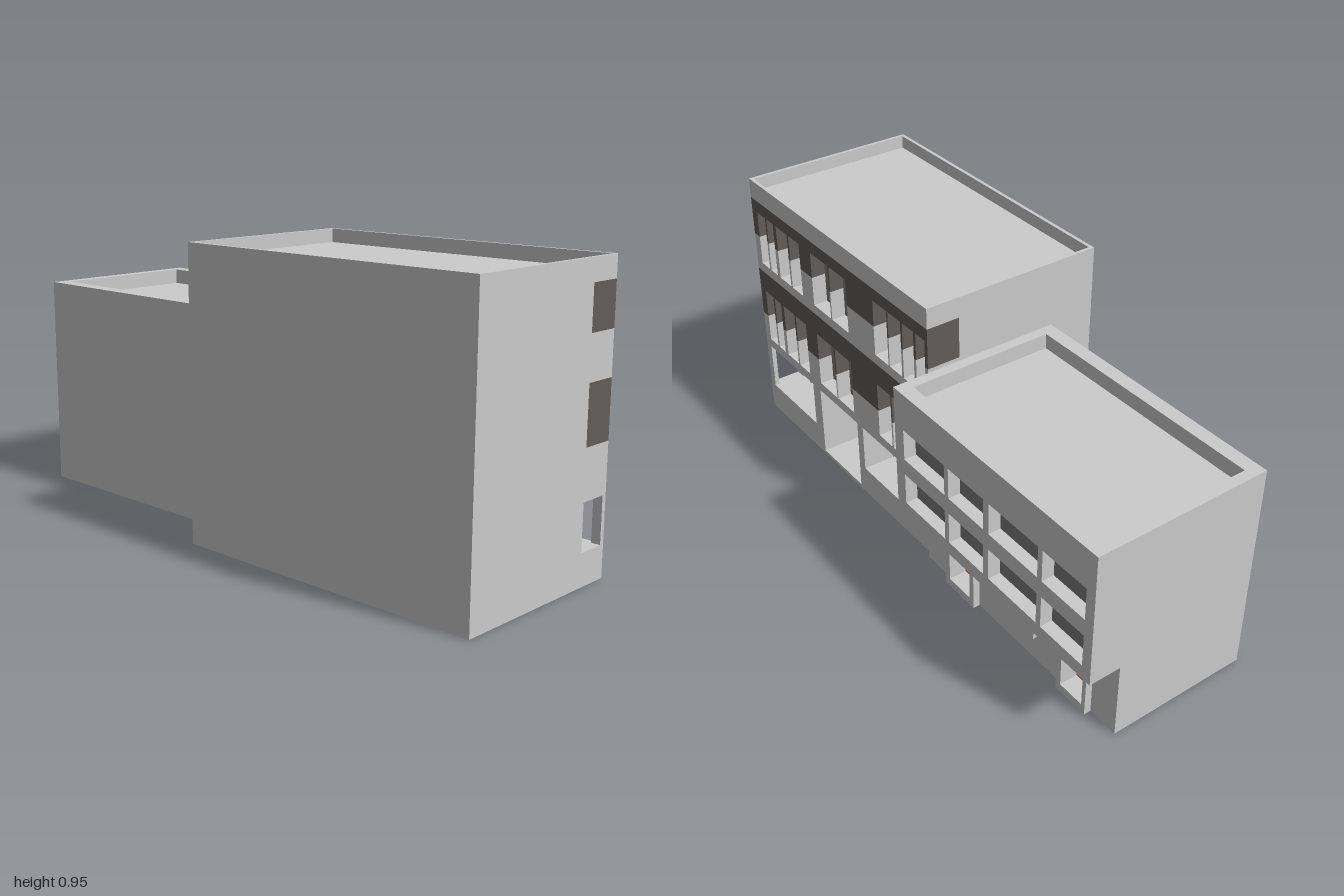
import * as THREE from 'three';

const mat = (color) => new THREE.MeshStandardMaterial({ color });
const GREY = mat(0xcccccc), DARK = mat(0x605d5a), GLASS = mat(0x7d7d7d), PALE = mat(0xb6b6b6), WOOD = mat(0xc4893a);
// the street front runs very slightly off the z axis
const SKEW = new THREE.Matrix4().set(1, 0, 0.01, 0, 0, 1, 0, 0, 0, 0, 1, 0, 0, 0, 0, 1);

function addMesh(parent, name, geometry, material) {
  const m = new THREE.Mesh(geometry.applyMatrix4(SKEW), material);
  m.name = name;
  parent.add(m);
}

// box given by its limits
function block(parent, name, material, x0, x1, y0, y1, z0, z1) {
  const g = new THREE.BoxGeometry(x1 - x0, y1 - y0, z1 - z0);
  g.translate((x0 + x1) / 2, (y0 + y1) / 2, (z0 + z1) / 2);
  addMesh(parent, name, g, material);
}

// horizontal wall strip along z, interrupted by openings [z0, z1] in rising order
function strip(parent, name, material, x0, x1, y0, y1, z0, z1, openings = []) {
  let start = z0;
  for (const [a, b] of [...openings, [z1, z1]]) {
    if (a - start > 0.001) block(parent, name, material, x0, x1, y0, y1, start, a);
    start = b;
  }
}

// one thin pane at the back of each opening
function panes(parent, name, material, x, y0, y1, openings) {
  for (const [a, b] of openings) block(parent, name, material, x - 0.01, x, y0, y1, a, b);
}

// wall panel with rectangular holes [z0, z1, y0, y1], extruded from x0 to x1
function frame(parent, name, x0, x1, y0, y1, z0, z1, holes) {
  const rect = (T, a, b, c, d) => {
    const s = new T();
    s.moveTo(-a, c); s.lineTo(-b, c); s.lineTo(-b, d); s.lineTo(-a, d); s.closePath();
    return s;
  };
  const shape = rect(THREE.Shape, z1, z0, y0, y1);
  for (const h of holes) shape.holes.push(rect(THREE.Path, h[0], h[1], h[2], h[3]));
  const g = new THREE.ExtrudeGeometry(shape, { depth: x1 - x0, bevelEnabled: false });
  g.rotateY(Math.PI / 2);
  g.translate(x0, 0, 0);
  addMesh(parent, name, g, GREY);
}

// raised rim around a flat roof
function parapet(parent, x0, x1, y0, y1, z0, z1, tx, tz) {
  block(parent, 'parapet', GREY, x0, x0 + tx, y0, y1, z0, z1);
  block(parent, 'parapet', GREY, x1 - tx, x1, y0, y1, z0, z1);
  for (const z of [z0, z1 - tz]) block(parent, 'parapet', GREY, x0 + tx, x1 - tx, y0, y1, z, z + tz);
}

function tallBuilding() {
  const g = new THREE.Group();
  g.name = 'tallBuilding';
  const Z0 = -0.075, Z1 = 1, X0 = -0.38, XB = 0.085, XM = 0.137, XF = 0.252;
  const door = [0.37, 0.615], niche1 = [0.665, 0.97], niche2 = [-0.066, 0.335];
  const upper = [[-0.06, -0.012], [0, 0.06], [0.07, 0.14], [0.147, 0.225], [0.385, 0.488], [0.495, 0.605],
    [0.68, 0.75], [0.76, 0.835], [0.855, 0.9], [0.91, 0.965]];
  const lower = [[-0.062, -0.01], [0, 0.06], [0.145, 0.222], [0.228, 0.28], [0.285, 0.33],
    [0.68, 0.752], [0.76, 0.835], [0.855, 0.9], [0.91, 0.96]];
  const wall = (mt, y0, y1, o) => strip(g, mt === DARK ? 'darkBand' : 'frontWall', mt, XM, XF, y0, y1, Z0, Z1, o);

  // main mass
  block(g, 'core', GREY, X0, XB, 0, 0.905, Z0, Z1);
  block(g, 'upperCore', GREY, XB, XM, 0.28, 0.905, Z0, Z1);
  parapet(g, X0, XF, 0.905, 0.95, Z0, Z1, 0.012, 0.012);

  // ground floor: set back window wall, deep entrance and open corner niche
  const inner = (y0, y1, o) => strip(g, 'innerWall', GREY, XB, XM, y0, y1, Z0, Z1, o);
  inner(0, 0.105, [door]);
  inner(0.105, 0.235, [...lower.slice(0, 5), door, ...lower.slice(5)]);
  inner(0.235, 0.28, [door]);
  panes(g, 'groundWindow', PALE, XM - 0.025, 0.105, 0.235, lower);
  wall(GREY, 0, 0.105, [door]);
  wall(GREY, 0.105, 0.255, [niche2, door, [niche1[0], Z1]]);
  wall(GREY, 0.255, 0.28, [niche2, door, niche1]);
  block(g, 'cornerPier', GREY, 0.236, XF, 0.105, 0.255, 0.97, Z1);
  block(g, 'entranceFloor', GREY, XB, XF, 0, 0.012, ...door);
  block(g, 'entranceDoor', WOOD, XB, XB + 0.006, 0.012, 0.235, 0.39, 0.61);
  block(g, 'entrancePlinth', GREY, XB + 0.006, 0.155, 0.012, 0.075, 0.37, 0.388);

  // two upper storeys: windows reach into the dark bands
  wall(GREY, 0.28, 0.315);
  wall(GREY, 0.315, 0.415, upper);
  wall(DARK, 0.415, 0.52, upper);
  wall(DARK, 0.52, 0.6);
  wall(GREY, 0.6, 0.635);
  wall(GREY, 0.635, 0.74, upper);
  wall(DARK, 0.74, 0.835, upper);
  wall(DARK, 0.835, 0.88);
  wall(GREY, 0.88, 0.905);
  for (const y of [0.315, 0.635]) panes(g, 'upperWindow', GLASS, XF - 0.05, y, y + 0.203, upper);
  return g;
}

function lowBuilding() {
  const g = new THREE.Group();
  g.name = 'lowBuilding';
  const Z0 = -1, Z1 = -0.075, X0 = -0.217, XF = 0.376, XW = 0.268, XS = 0.292, XB = 0.222;

  // overhanging upper block with two rows of windows
  const rows = [[0.315, 0.427], [0.485, 0.595]];
  const wins = [[-0.965, -0.785], [-0.765, -0.545], [-0.52, -0.35], [-0.33, -0.12]];
  block(g, 'upperCore', GREY, X0, XF - 0.05, 0.268, 0.675, Z0, Z1);
  frame(g, 'upperWall', XF - 0.05, XF, 0.268, 0.675, Z0, Z1,
    rows.flatMap(([a, b]) => wins.map(([c, d]) => [c, d, a, b])));
  for (const [a, b] of rows) panes(g, 'upperWindow', GLASS, XF - 0.042, a, b, wins);
  parapet(g, X0, XF, 0.675, 0.727, Z0, Z1, 0.048, 0.036);

  // ground floor wall
  const surrounds = [[-0.895, -0.765], [-0.355, -0.205]], bay = [-0.655, -0.415];
  block(g, 'lowerCore', GREY, X0, XB, 0, 0.268, Z0, Z1);
  strip(g, 'lowerWall', GREY, XB, XW, 0, 0.11, Z0, Z1, surrounds);
  strip(g, 'lowerWall', GREY, XB, XW, 0.11, 0.268, Z0, Z1, [surrounds[0], bay, surrounds[1]]);

  // projecting door and window surrounds
  const doors = [[-0.88, -0.785], [-0.335, -0.228]];
  surrounds.forEach(([a, b], i) =>
    frame(g, 'doorSurround', XB, XS, 0, 0.268, a, b, [[...doors[i], 0.03, 0.245]]));
  panes(g, 'door', WOOD, XB + 0.008, 0.03, 0.245, doors);
  const bayWins = [[-0.64, -0.545], [-0.52, -0.432]];
  frame(g, 'windowSurround', XB, XS, 0.11, 0.268, ...bay, bayWins.map((w) => [...w, 0.135, 0.245]));
  panes(g, 'bayWindow', GLASS, XB + 0.02, 0.135, 0.245, bayWins);
  return g;
}

export function createModel() {
  const model = new THREE.Group();
  model.name = 'twoBuildings';
  model.add(tallBuilding(), lowBuilding());
  return model;
}
